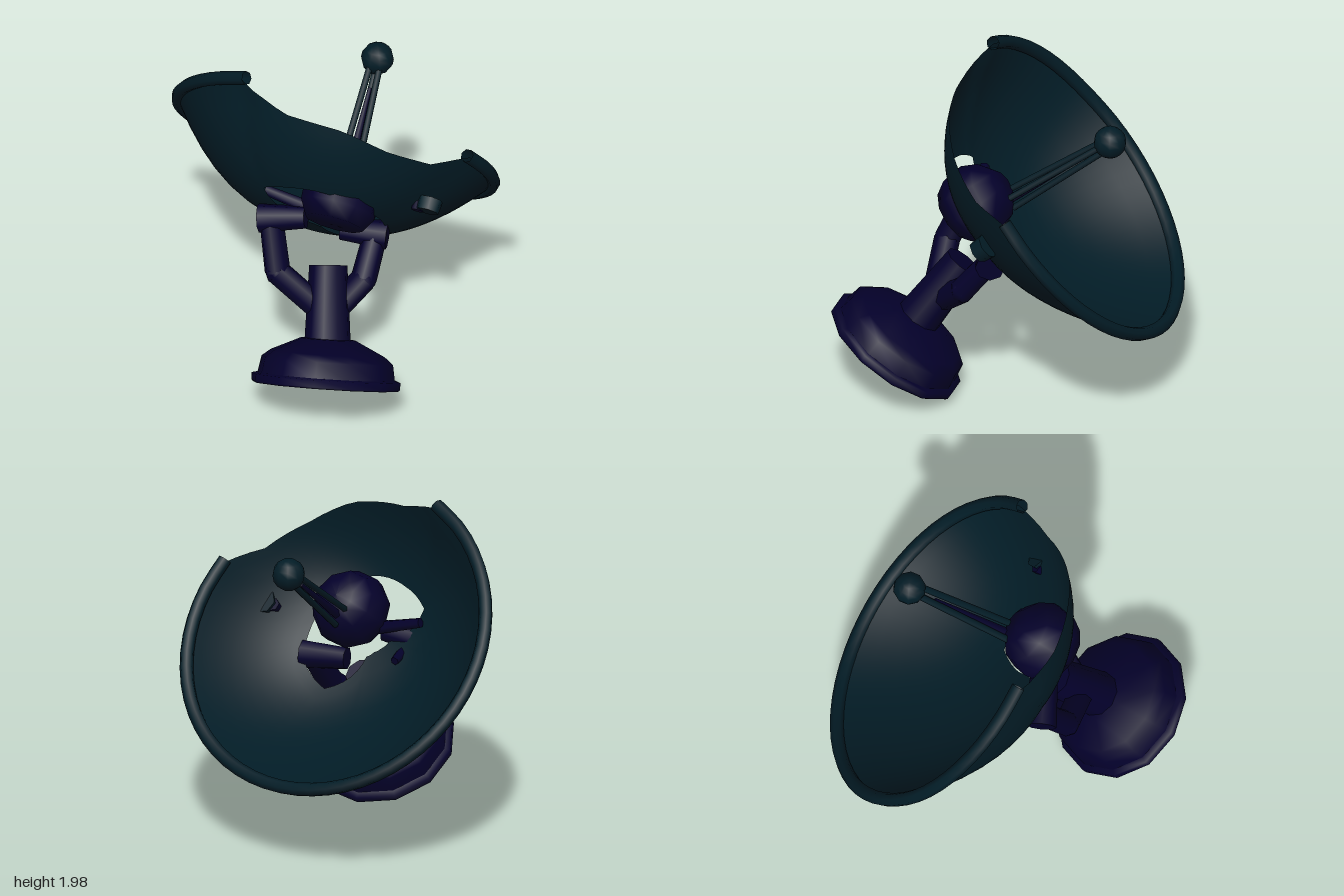
import * as THREE from 'three';

const V = (x, y, z) => new THREE.Vector3(x, y, z);
const UP = V(0, 1, 0);
const RAD = Math.PI / 180;
const lerp = THREE.MathUtils.lerp;

export function createModel() {
  const model = new THREE.Group();
  const teal = new THREE.MeshStandardMaterial({ color: 0x021c26, side: THREE.DoubleSide });
  teal.name = 'dark teal';
  const indigo = new THREE.MeshStandardMaterial({ color: 0x03002a, side: THREE.DoubleSide });
  indigo.name = 'dark indigo';

  const add = (name, geo, mat, parent = model) => {
    const mesh = new THREE.Mesh(geo, mat);
    mesh.name = name;
    parent.add(mesh);
    return mesh;
  };
  // Tapered round bar between two points
  const rod = (name, a, b, ra, rb, mat, sides = 8) => {
    const dir = b.clone().sub(a);
    const mesh = add(name, new THREE.CylinderGeometry(rb, ra, dir.length(), sides), mat);
    mesh.position.copy(a).addScaledVector(dir, 0.5);
    mesh.quaternion.setFromUnitVectors(UP, dir.normalize());
    return mesh;
  };
  const lathe = (pts, sides) => new THREE.LatheGeometry(pts.map(p => new THREE.Vector2(...p)), sides);

  // Tilted base with a thin lip and a domed housing
  const base = new THREE.Group();
  base.name = 'base';
  base.position.set(0.12, 0.24, 0.65);
  base.quaternion.setFromUnitVectors(UP, V(-0.03, 0.83, -0.555).normalize());
  model.add(base);
  add('baseLip', lathe([[0, 0], [0.42, 0], [0.43, 0.01], [0.43, 0.05], [0.39, 0.06]], 12), indigo, base);
  add('baseHousing', lathe([[0.4, 0.04], [0.38, 0.15], [0.33, 0.19], [0.16, 0.27], [0, 0.28]], 12), indigo, base);

  // Post rising from the base
  rod('post', V(0.11, 0.42, 0.53), V(0.065, 0.8, 0.25), 0.135, 0.11, indigo, 10);

  // Yoke arms, each with a pad at the tip
  const arms = [
    [V(0.02, 0.62, 0.4), V(-0.21, 0.79, 0.35), V(-0.27, 1.06, 0.22)],
    [V(0.14, 0.6, 0.36), V(0.27, 0.73, 0.25), V(0.31, 0.94, 0.09)],
  ];
  arms.forEach((p, i) => {
    const side = i ? 'right' : 'left', inward = i ? -1 : 1;
    rod(side + 'ArmLower', p[0], p[1], 0.075, 0.075, indigo);
    rod(side + 'ArmUpper', p[1], p[2], 0.075, 0.07, indigo);
    const elbow = add(side + 'ArmElbow', new THREE.SphereGeometry(0.075, 8, 6), indigo);
    elbow.position.copy(p[1]);
    rod(side + 'ArmPad', p[2].clone().add(V(-0.07 * inward, 0, 0)),
      p[2].clone().add(V(0.2 * inward, i ? 0.01 : 0.04, 0)), 0.085, 0.065, indigo);
  });
  // Bracket and pin joining the left arm to the dish
  rod('leftBracket', V(-0.32, 1.205, 0.14), V(-0.05, 1.13, 0.17), 0.03, 0.04, indigo, 6);
  rod('leftPin', V(-0.22, 1.03, 0.2), V(-0.2, 0.99, 0.04), 0.035, 0.025, indigo, 6);

  // Dish frame: local x across, y up the dish, z out of its back
  const back = V(-0.13, -0.64, 0.757).normalize();
  const across = V(1, 0, 0).addScaledVector(back, -back.x).normalize();
  const upDish = back.clone().cross(across);
  const dish = new THREE.Group();
  dish.name = 'dish';
  dish.quaternion.setFromRotationMatrix(new THREE.Matrix4().makeBasis(across, upDish, back));
  dish.position.set(0, 1.235, -0.36);
  model.add(dish);

  // Rounded pivot head with a flat back, seated in the dish opening
  const head = add('pivotHead', lathe([[0, 0.19], [0.1, 0.2], [0.185, 0.28], [0.225, 0.38],
    [0.22, 0.46], [0.17, 0.545], [0, 0.55]], 10), indigo, dish);
  head.position.set(0.175, 0.335, 0);
  head.rotation.x = Math.PI / 2;

  const RIM = 0.93, BREAK0 = 27 * RAD, BREAK1 = 118 * RAD;
  // The rim's upper left end is sprung outward and forward
  const spring = a => a >= BREAK1 - 0.01 && a < 175 * RAD ? (175 * RAD - a) / (57 * RAD) : 0;
  const depth = (r, a) => {
    const t = (a - BREAK0) / (BREAK1 - BREAK0);
    const bent = t > 0 && t < 1 ? Math.sin(Math.PI * t) : 0;
    const bowlShape = 0.53 * (1 - Math.pow(Math.min(r / RIM, 1), 2.4 + 0.5 * Math.sin(a)));
    return bowlShape + 0.1 * bent * r * r - 0.055 * spring(a) * r ** 4;
  };
  // Jagged outer edge: [angle, radius] along the broken stretch
  const jag = [[27, 0.92], [40, 0.865], [59, 0.87], [78, 0.9], [101, 0.89], [118, 0.94]];
  const outerRadius = a => {
    if (a <= BREAK0 || a >= BREAK1) return RIM + 0.02 * spring(a);
    const k = jag.findIndex(p => p[0] * RAD > a), [a0, r0] = jag[k - 1], [a1, r1] = jag[k];
    return lerp(r0, r1, (a / RAD - a0) / (a1 - a0));
  };

  // Bowl: loops blended from the ragged hole out to the broken edge
  const hole = [0.35, 0.33, 0.35, 0.36, 0.36, 0.38, 0.12, 0.09, 0.08, 0.1, 0.38, 0.39];
  const N = 72, M = 9, pos = [], idx = [];
  for (let j = 0; j <= M; j++) {
    for (let i = 0; i < N; i++) {
      const a = i / N * Math.PI * 2, k = i * 12 / N, f = Math.floor(k);
      const hr = lerp(hole[f], hole[(f + 1) % 12], k - f), outer = outerRadius(a);
      const x = lerp(0.07 + hr * Math.cos(a), outer * Math.cos(a), j / M);
      const y = lerp(0.2 + hr * Math.sin(a), outer * Math.sin(a), j / M);
      const ang = (Math.atan2(y, x) + Math.PI * 2) % (Math.PI * 2);
      pos.push(x, y, depth(Math.hypot(x, y), ang));
      if (j < M) {
        const p = j * N + i, q = j * N + (i + 1) % N;
        idx.push(p, p + N, q, q, p + N, q + N);
      }
    }
  }
  const bowl = new THREE.BufferGeometry();
  bowl.setAttribute('position', new THREE.Float32BufferAttribute(pos, 3));
  bowl.setIndex(idx);
  bowl.computeVertexNormals();
  add('dishBowl', bowl, teal, dish);

  // Rim tube, missing along the broken stretch
  const rimPts = [];
  for (let i = 0; i <= 22; i++) {
    const a = BREAK1 + (Math.PI * 2 - BREAK1 + BREAK0) * i / 22;
    const r = RIM + 0.02 * spring(a);
    rimPts.push(V(r * Math.cos(a), r * Math.sin(a), -0.055 * spring(a)));
  }
  add('dishRim', new THREE.TubeGeometry(new THREE.CatmullRomCurve3(rimPts), 44, 0.04, 7), teal, dish);

  // Knob on the back of the dish with a small stud beside it
  const alongBack = (p, t) => p.clone().addScaledVector(back, t);
  const knob = V(0.625, 1.21, 0.12), stud = V(0.565, 1.2, 0.115);
  rod('backKnob', alongBack(knob, -0.03), alongBack(knob, 0.045), 0.075, 0.068, teal, 7);
  rod('backStud', alongBack(stud, -0.02), alongBack(stud, 0.04), 0.038, 0.034, indigo, 6);

  // Antenna: three struts and a core carrying a ball
  const foot = V(0.13, 1.24, 0.0), tip = V(0.2, 1.675, -0.59);
  const ball = add('antennaBall', new THREE.SphereGeometry(0.095, 10, 8), teal);
  ball.position.copy(tip);
  for (let i = 0; i < 3; i++) {
    const a = i * Math.PI * 2 / 3 - Math.PI / 2;
    const off = across.clone().multiplyScalar(Math.cos(a)).addScaledVector(upDish, Math.sin(a));
    rod('antennaStrut', foot.clone().addScaledVector(off, 0.06), tip.clone().addScaledVector(off, 0.03), 0.02, 0.02, teal, 6);
  }
  rod('antennaCore', foot, foot.clone().lerp(tip, 0.75), 0.03, 0.012, indigo, 6);

  return model;
}
